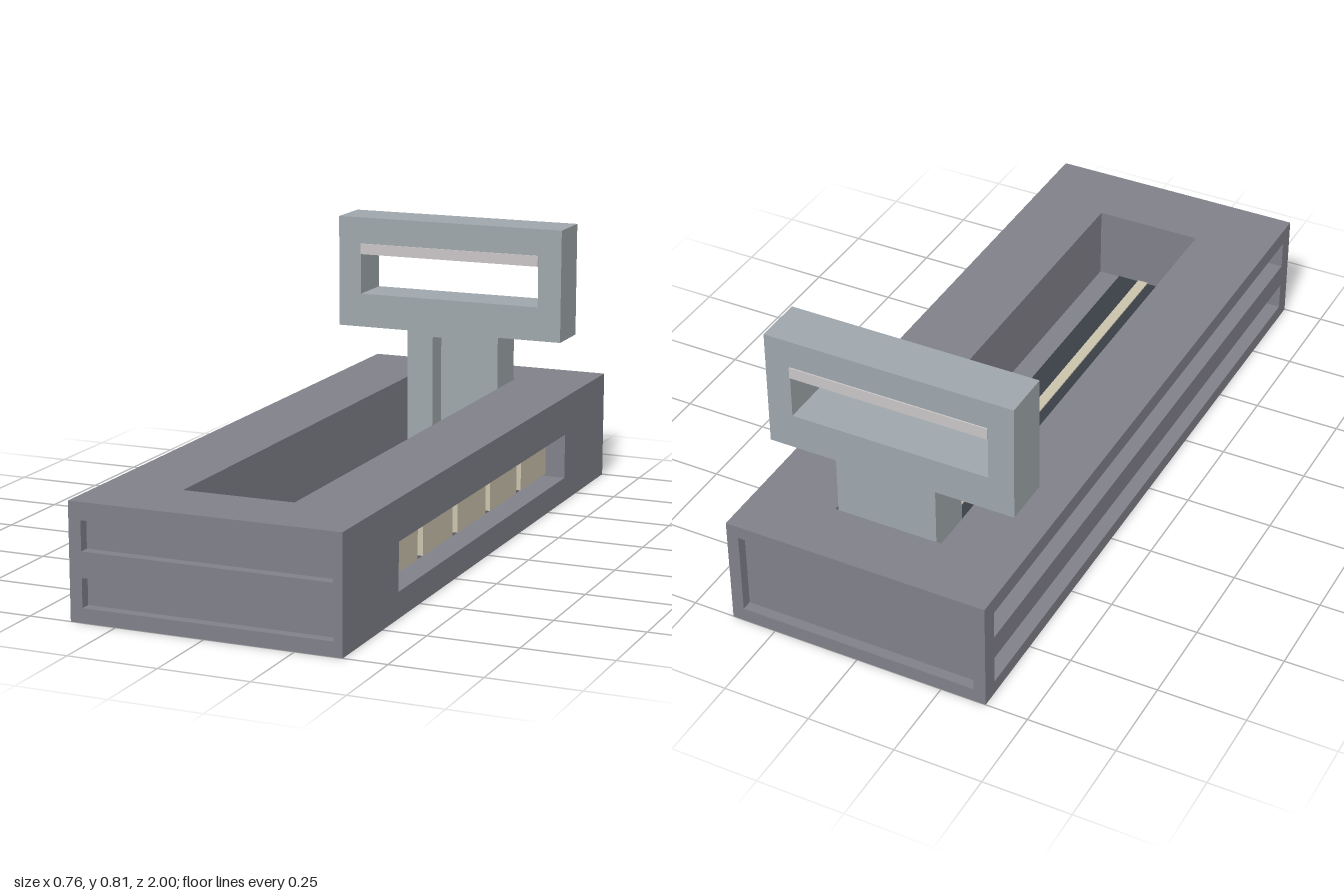
import * as THREE from 'three';

const material = (name, color, extra = {}) => {
  const m = new THREE.MeshStandardMaterial({ color, ...extra });
  m.name = name;
  return m;
};

// Closed path from corner points
const trace = (path, pts) => {
  pts.forEach(([x, y], i) => (i ? path.lineTo(x, y) : path.moveTo(x, y)));
  path.closePath();
  return path;
};
const rect = (x0, x1, y0, y1) => [[x0, y0], [x1, y0], [x1, y1], [x0, y1]];

// Flat slab with rectangular openings
function slab(outline, holes, depth) {
  const shape = trace(new THREE.Shape(), outline);
  holes.forEach((h) => shape.holes.push(trace(new THREE.Path(), rect(...h))));
  return new THREE.ExtrudeGeometry(shape, { depth, bevelEnabled: false });
}

export function createModel() {
  const model = new THREE.Group();
  model.name = 'model';
  const stone = material('purple grey', 0x80808a);
  const metal = material('light steel', 0x9fa7ac);
  const cream = material('cream', 0xcac3ad);
  const dark = material('charcoal', 0x3a4046);
  const pale = material('pale grey', 0xc9c5c6);

  const add = (parent, name, geo, mat) => {
    const mesh = new THREE.Mesh(geo, mat);
    mesh.name = name;
    parent.add(mesh);
    return mesh;
  };
  const box = (parent, name, mat, x0, x1, y0, y1, z0, z1) => {
    const geo = new THREE.BoxGeometry(x1 - x0, y1 - y0, z1 - z0);
    add(parent, name, geo, mat).position.set((x0 + x1) / 2, (y0 + y1) / 2, (z0 + z1) / 2);
  };

  // Base: core with an open trough, wrapped by faces with recesses
  const base = new THREE.Group();
  base.name = 'base';
  model.add(base);
  const H = 0.32, floorY = 0.105;
  box(base, 'coreFloor', stone, -0.335, 0.31, 0, floorY, -0.97, 0.97);
  add(base, 'troughWalls',
    slab(rect(-0.335, 0.31, -0.97, 0.97), [[-0.16, 0.155, -0.82, 0.79]], H - floorY)
      .rotateX(Math.PI / 2).translate(0, H, 0), stone);

  const rows = [[0.04, 0.12], [0.19, 0.272]];
  add(base, 'frontFace',
    slab(rect(-0.38, 0.38, 0, H), rows.map((r) => [-0.345, 0.355, ...r]), 0.03)
      .translate(0, 0, 0.97), stone);
  add(base, 'backFace',
    slab(rect(-0.38, 0.38, 0, H), [[-0.345, 0.345, 0.04, 0.283]], 0.03)
      .translate(0, 0, -1), stone);
  add(base, 'rightSideSlots',
    slab(rect(-0.97, 0.97, 0, H), rows.map((r) => [-0.95, 0.95, ...r]), 0.045)
      .rotateY(-Math.PI / 2).translate(-0.335, 0, 0), stone);
  add(base, 'leftSideWindow',
    slab(rect(-0.97, 0.97, 0, H), [[-0.64, 0.645, 0.072, 0.205]], 0.07)
      .rotateY(-Math.PI / 2).translate(0.38, 0, 0), stone);

  // Row of blocks inside the side window
  for (let i = 0; i < 5; i++) {
    const z = 0.514 - i * 0.251;
    box(base, 'windowBlock', cream, 0.3, 0.335, 0.09, 0.19, z - 0.107, z + 0.107);
  }

  // Trough lining: dark bed with a light centre strip
  box(base, 'troughBed', dark, -0.075, 0.09, floorY - 0.002, floorY + 0.003, -0.81, 0.789);
  box(base, 'centreStrip', cream, -0.006, 0.025, floorY, floorY + 0.007, -0.81, 0.789);

  // Upright: T-shaped plate with an opening, and a niche in the front of its stem
  const upright = new THREE.Group();
  upright.name = 'upright';
  model.add(upright);
  const tee = [
    [-0.14, floorY], [0.152, floorY], [0.152, 0.475], [0.349, 0.475],
    [0.349, 0.812], [-0.367, 0.812], [-0.367, 0.475], [-0.14, 0.475],
  ];
  const opening = [-0.294, 0.277, 0.577, 0.732];
  add(upright, 'uprightBack', slab(tee, [opening], 0.07).translate(0, 0, -0.81), metal);
  add(upright, 'uprightFront',
    slab(tee, [opening, [-0.058, 0.08, 0.175, 0.461]], 0.07).translate(0, 0, -0.74), metal);
  box(upright, 'openingBar', pale, -0.294, 0.277, 0.7, 0.732, -0.814, -0.665);

  return model;
}
